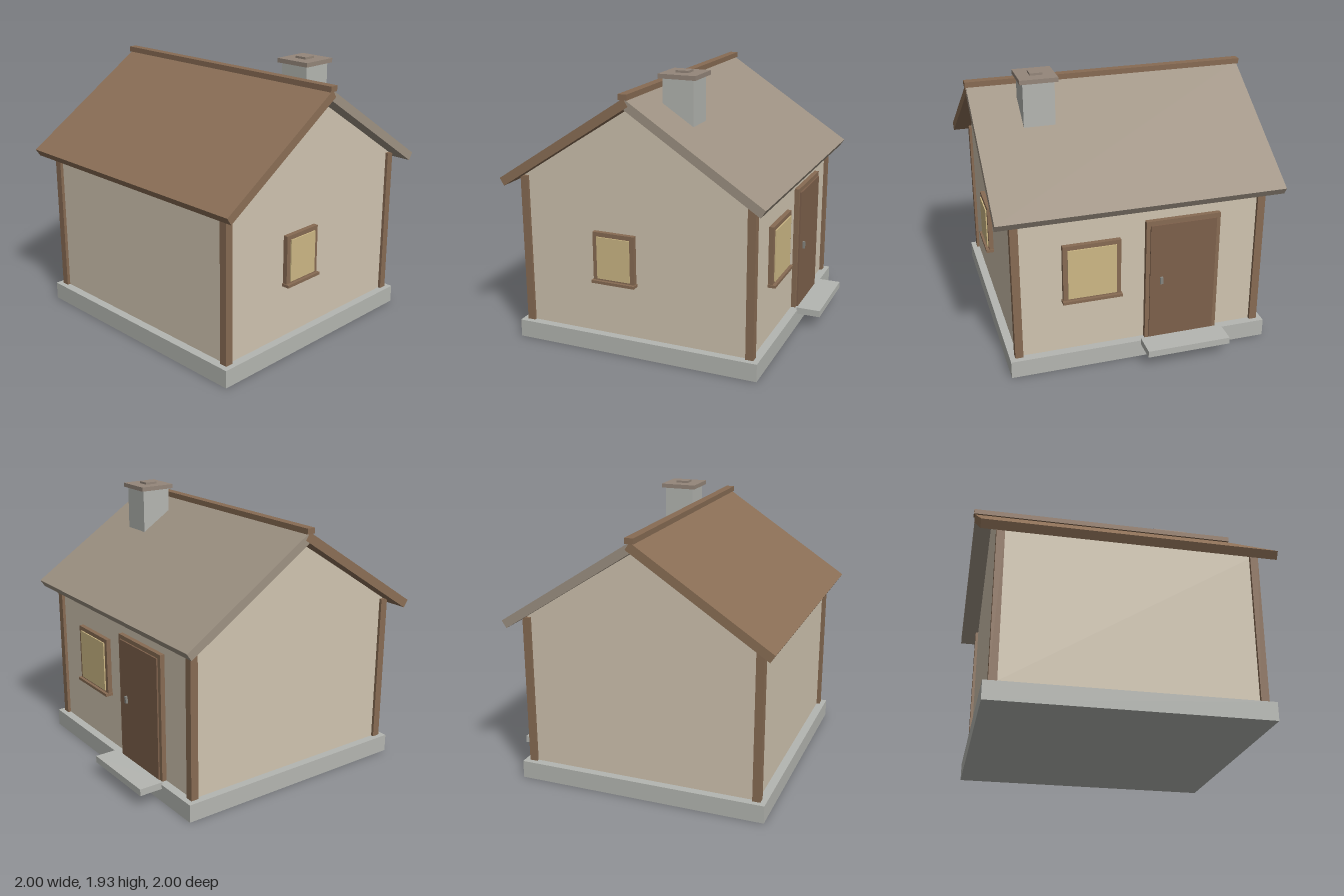
import * as THREE from 'three';

export function createModel() {
  const house = new THREE.Group();
  house.name = 'cottage';

  const mat = (name, color) => {
    const m = new THREE.MeshStandardMaterial({ color });
    m.name = name;
    return m;
  };
  const plaster = mat('plaster', 0xd0c4b0);
  const stone = mat('stone', 0xb4b6b1);
  const timber = mat('timber', 0x876b53);
  const roofBrown = mat('roof brown', 0x8b6f56);
  const roofGrey = mat('roof grey', 0x9e9283);
  const capStone = mat('cap stone', 0x94867a);
  const glass = mat('window glass', 0xcdb885);
  const doorWood = mat('door wood', 0x7d604b);
  const metal = mat('handle metal', 0x85857f);

  // Box given by its min and max on each axis
  const box = (name, material, [x0, x1], [y0, y1], [z0, z1], parent = house) => {
    const mesh = new THREE.Mesh(new THREE.BoxGeometry(x1 - x0, y1 - y0, z1 - z0), material);
    mesh.position.set((x0 + x1) / 2, (y0 + y1) / 2, (z0 + z1) / 2);
    mesh.name = name;
    parent.add(mesh);
    return mesh;
  };

  const midZ = 0.055;      // ridge line
  const wallX = 0.865;     // half width of the walls
  const wallZ = 0.825;     // half depth of the walls
  const eaveY = 1.195;

  // Foundation and walls
  box('foundation', stone, [-0.922, 0.922], [0, 0.125], [midZ - 0.885, midZ + 0.885]);
  box('walls', plaster, [-wallX, wallX], [0.125, eaveY], [midZ - wallZ, midZ + wallZ]);

  // Gable prism under the roof
  const triangle = new THREE.Shape();
  triangle.moveTo(-wallZ, 0);
  triangle.lineTo(wallZ, 0);
  triangle.lineTo(0, 0.53);
  const gableGeo = new THREE.ExtrudeGeometry(triangle, { depth: wallX * 2, bevelEnabled: false });
  gableGeo.translate(0, 0, -wallX);
  gableGeo.rotateY(Math.PI / 2);
  const gable = new THREE.Mesh(gableGeo, plaster);
  gable.position.set(0, eaveY, midZ);
  gable.name = 'gable';
  house.add(gable);

  // Corner posts
  for (const sx of [-1, 1]) {
    for (const sz of [-1, 1]) {
      const x = sx * 0.8575, z = midZ + sz * 0.82;
      box('cornerPost', timber, [x - 0.0275, x + 0.0275], [0.125, 1.19], [z - 0.0275, z + 0.0275]);
    }
  }

  // Roof slabs: the upper edge of each lies on the ridge line
  const angle = Math.atan2(0.613, 0.943);
  const slopeLength = Math.hypot(0.613, 0.943);
  const roofSlab = (name, material, side, halfWidth) => {
    const geo = new THREE.BoxGeometry(halfWidth * 2, 0.06, slopeLength);
    geo.translate(0, -0.03, side * slopeLength / 2);
    geo.rotateX(side * angle);
    const slab = new THREE.Mesh(geo, material);
    slab.position.set(0, 1.8, midZ);
    slab.name = name;
    house.add(slab);
  };
  roofSlab('frontRoof', roofBrown, 1, 0.992);
  roofSlab('backRoof', roofGrey, -1, 0.99);
  box('ridgeBeam', timber, [-1, 1], [1.79, 1.828], [midZ - 0.03, midZ + 0.03]);

  // Chimney
  const chimney = new THREE.Group();
  chimney.name = 'chimney';
  house.add(chimney);
  const stack = (name, material, half, y) =>
    box(name, material, [0.557 - half, 0.557 + half], y, [-0.175 - half, -0.175 + half], chimney);
  stack('chimneyStack', stone, 0.108, [1.45, 1.885]);
  stack('chimneyCap', capStone, 0.131, [1.885, 1.915]);
  stack('chimneyFlue', capStone, 0.044, [1.915, 1.93]);

  // Window facing +z locally, with its origin on the wall at the frame's bottom centre
  const makeWindow = (name, w, h) => {
    const g = new THREE.Group();
    g.name = name;
    const x = w / 2;
    box('windowFrame', timber, [-x, x], [0, h], [-0.01, 0.033], g);
    box('windowGlass', glass, [-x + 0.032, x - 0.032], [0.018, h - 0.03], [0.033, 0.042], g);
    box('windowSill', timber, [-x - 0.007, x + 0.007], [-0.015, 0.005], [-0.01, 0.055], g);
    house.add(g);
    return g;
  };
  const sideWindow = makeWindow('sideWindow', 0.305, 0.345);
  sideWindow.position.set(wallX, 0.515, 0.2);
  sideWindow.rotation.y = Math.PI / 2;
  const backWindow = makeWindow('backWindow', 0.4, 0.41);
  backWindow.position.set(0.345, 0.52, midZ - wallZ);
  backWindow.rotation.y = Math.PI;

  // Back door with frame, handle and step
  box('doorFrame', timber, [-0.557, -0.03], [0.125, 1.03], [-0.803, -0.76]);
  box('doorLeaf', doorWood, [-0.527, -0.058], [0.125, 1.0], [-0.814, -0.8]);
  box('doorHandle', metal, [-0.148, -0.128], [0.555, 0.605], [-0.83, -0.81]);
  box('doorStep', stone, [-0.59, 0.005], [0.095, 0.143], [-0.997, -0.825]);

  return house;
}
